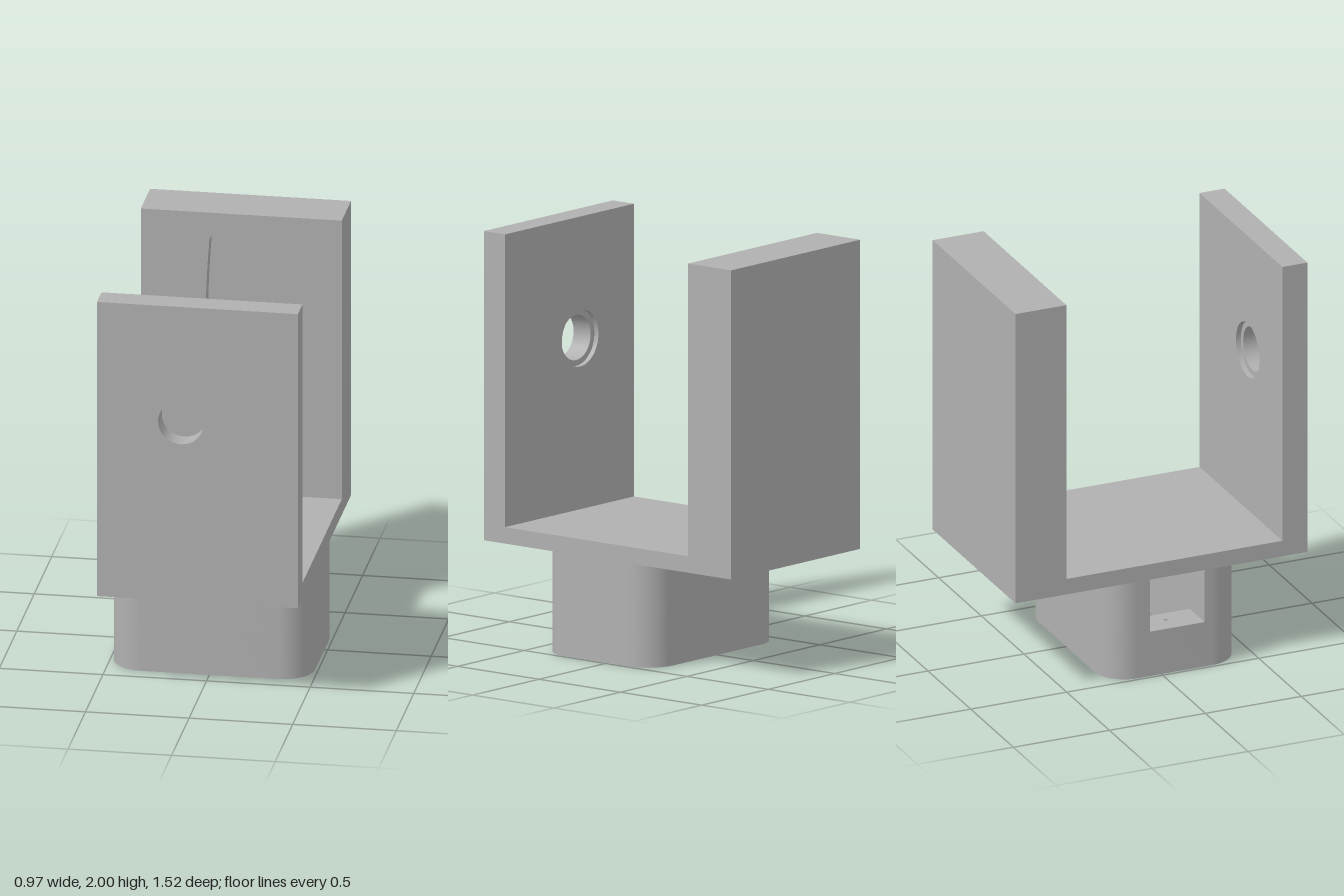
import * as THREE from 'three';
import { toCreasedNormals } from 'three/addons/utils/BufferGeometryUtils.js';

const W = 0.485;            // half width of the bracket
const BACK = -0.28, FRONT = 0.42; // socket extent in z
const R = 0.155;            // socket corner radius

// Rounded rectangle, added to a Shape or Path
function roundedRect(path, x0, y0, x1, y1, r) {
  path.moveTo(x0 + r, y0);
  path.lineTo(x1 - r, y0);
  path.absarc(x1 - r, y0 + r, r, -Math.PI / 2, 0);
  path.lineTo(x1, y1 - r);
  path.absarc(x1 - r, y1 - r, r, 0, Math.PI / 2);
  path.lineTo(x0 + r, y1);
  path.absarc(x0 + r, y1 - r, r, Math.PI / 2, Math.PI);
  path.lineTo(x0, y0 + r);
  path.absarc(x0 + r, y0 + r, r, Math.PI, Math.PI * 1.5);
  return path;
}

function circle(x, y, r) {
  return new THREE.Path().absarc(x, y, r, 0, Math.PI * 2);
}

function extrude(shape, depth) {
  return new THREE.ExtrudeGeometry(shape, { depth, bevelEnabled: false, curveSegments: 16 });
}

export function createModel() {
  const group = new THREE.Group();
  const grey = new THREE.MeshStandardMaterial({ color: 0xb0b0b0 });
  grey.name = 'grey';

  function add(name, geometry) {
    const mesh = new THREE.Mesh(toCreasedNormals(geometry, 0.5), grey);
    mesh.name = name;
    group.add(mesh);
  }

  function box(name, y0, y1, z0, z1) {
    const g = new THREE.BoxGeometry(2 * W, y1 - y0, z1 - z0);
    add(name, g.translate(0, (y0 + y1) / 2, (z0 + z1) / 2));
  }

  // Upright wall layer with one opening
  function wall(name, z0, z1, opening) {
    const s = new THREE.Shape();
    s.moveTo(-W, 0.5);
    s.lineTo(W, 0.5);
    s.lineTo(W, 2);
    s.lineTo(-W, 2);
    s.closePath();
    s.holes.push(opening);
    add(name, extrude(s, z1 - z0).translate(0, 0, z0));
  }

  // Horizontal layer: shape drawn with its y pointing to -z
  function layer(name, shape, y0, y1) {
    add(name, extrude(shape, y1 - y0).rotateX(-Math.PI / 2).translate(0, y0, 0));
  }

  // Bridge between the two walls
  box('bridgePlate', 0.5, 0.58, -0.495, 0.63);

  // Front wall: through hole with a shallow counterbore on the inside
  const hx = -0.08, hy = 1.41;
  wall('frontWall', 0.655, 0.76, circle(hx, hy, 0.11));
  wall('frontWallCounterbore', 0.63, 0.655, circle(hx, hy, 0.138));

  // Back wall: blind slot with slightly bulging sides
  const slot = new THREE.Path();
  const sr = 0.075, top = 1.845, bottom = 0.965, bulge = 0.11;
  slot.moveTo(hx + sr, bottom);
  slot.quadraticCurveTo(hx + bulge, hy, hx + sr, top);
  slot.absarc(hx, top, sr, 0, Math.PI);
  slot.quadraticCurveTo(hx - bulge, hy, hx - sr, bottom);
  slot.absarc(hx, bottom, sr, Math.PI, Math.PI * 2);
  box('backWall', 0.5, 2, -0.76, -0.565);
  wall('backWallSlot', -0.565, -0.495, slot);

  // Socket, lower part: rounded block with a pocket and two pin holes
  const px = 0.31, pz0 = -0.09, pz1 = 0.25, sill = 0.23;
  const lower = roundedRect(new THREE.Shape(), -W, -FRONT, W, -BACK, R);
  lower.holes.push(roundedRect(new THREE.Path(), -px, -pz1, px, -pz0, 0.025));
  for (const side of [-1, 1]) lower.holes.push(circle(side * 0.385, -0.07, 0.011));
  layer('socketLower', lower, 0, sill);

  // Socket, upper part: same block, open on the right side as a window
  const wz0 = -0.06, wz1 = 0.225;
  const upper = new THREE.Shape();
  upper.moveTo(-W, -wz1);
  upper.lineTo(-W, -FRONT + R);
  upper.absarc(-W + R, -FRONT + R, R, Math.PI, Math.PI * 1.5);
  upper.lineTo(W - R, -FRONT);
  upper.absarc(W - R, -FRONT + R, R, -Math.PI / 2, 0);
  upper.lineTo(W, -BACK - R);
  upper.absarc(W - R, -BACK - R, R, 0, Math.PI / 2);
  upper.lineTo(-W + R, -BACK);
  upper.absarc(-W + R, -BACK - R, R, Math.PI / 2, Math.PI);
  upper.lineTo(-W, -wz0);
  upper.lineTo(-px, -wz0);
  upper.lineTo(-px, -pz0);
  upper.lineTo(px, -pz0);
  upper.lineTo(px, -pz1);
  upper.lineTo(-px, -pz1);
  upper.lineTo(-px, -wz1);
  upper.closePath();
  layer('socketUpper', upper, sill, 0.5);

  return group;
}
